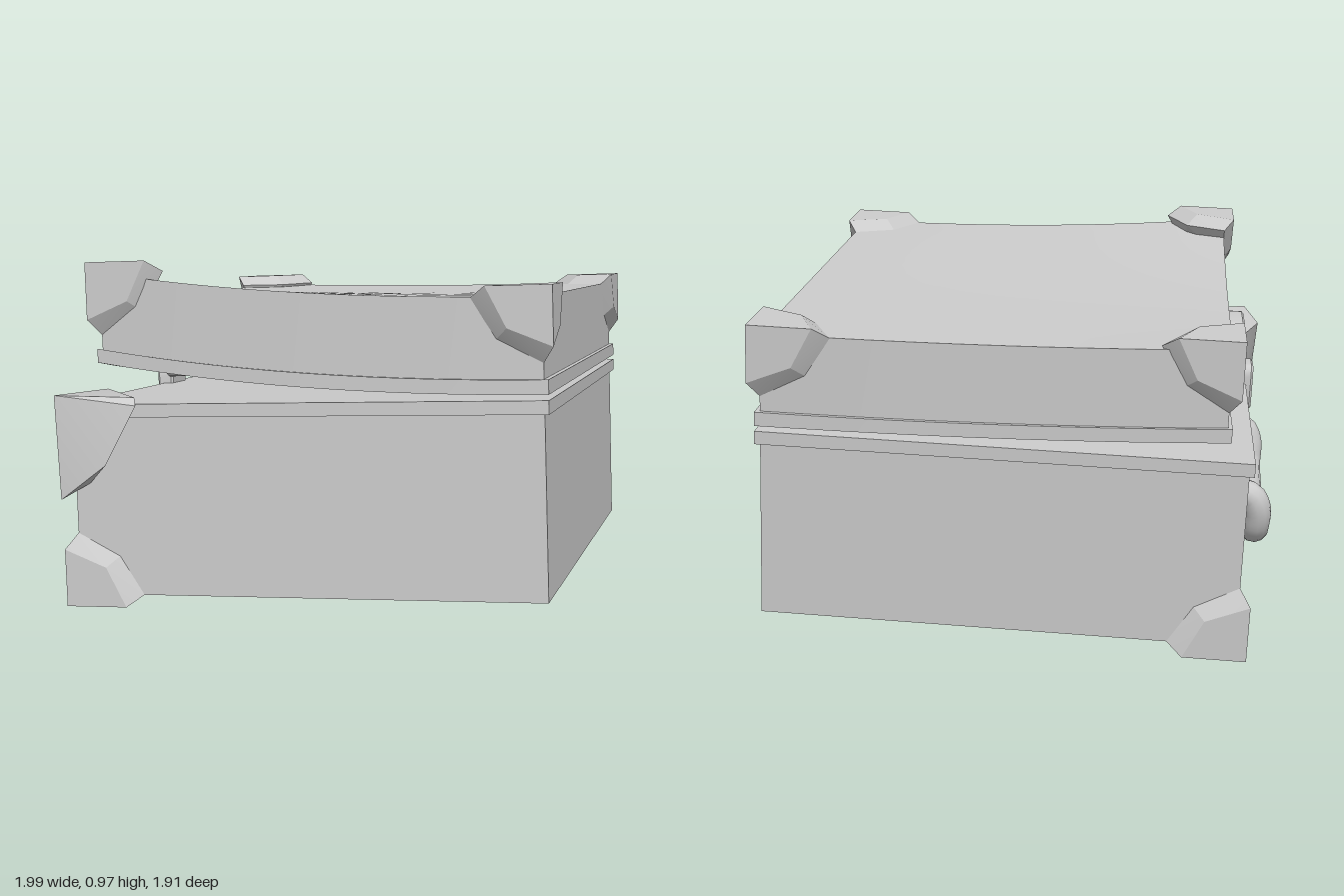
import * as THREE from 'three';
import { toCreasedNormals } from 'three/addons/utils/BufferGeometryUtils.js';
import { ConvexGeometry } from 'three/addons/geometries/ConvexGeometry.js';

const W = 1.46, D = 1.22, BODY_H = 0.46, LID_BASE = 0.5;
const material = new THREE.MeshStandardMaterial({ color: 0xcccccc });
const V = (x, y, z) => new THREE.Vector3(x, y, z);

function add(parent, name, geometry, crease = 0.5) {
  const mesh = new THREE.Mesh(toCreasedNormals(geometry, crease), material);
  mesh.name = name;
  parent.add(mesh);
  return mesh;
}

// Box spanning y0..y1, grown outwards by grow
function slab(y0, y1, grow, seg = 1) {
  const g = new THREE.BoxGeometry(W + 2 * grow, y1 - y0, D + 2 * grow, seg, 1, seg);
  return g.translate(0, (y0 + y1) / 2, 0);
}

// Bent lid: lies flat at the hinge, curls up and pulls in on the handle side
function warp(p) {
  const x = p.x / (W / 2), t = Math.max(0, (p.z / (D / 2) + 1) / 2), k = t * t;
  return V(
    p.x + k * (-0.02 - 0.05 * x),
    p.y + 0.008 + k * (0.02 + 0.03 * x + 0.035 * x * x),
    p.z - 0.06 * k
  );
}

function warpGeometry(g) {
  const pos = g.attributes.position, p = V(0, 0, 0);
  for (let i = 0; i < pos.count; i++) {
    const q = warp(p.fromBufferAttribute(pos, i));
    pos.setXYZ(i, q.x, q.y, q.z);
  }
  g.computeVertexNormals();
  return g;
}

// Bevelled three-armed corner guard; s gives the direction of the corner
function cornerGuard(corner, s) {
  const e = 0.028, arm = [0.16, 0.12, 0.135], points = [[e, e, e]];
  for (let a = 0; a < 3; a++) {
    const b = (a + 1) % 3, c = (a + 2) % 3;
    // arm tip, with a bevel running down to the case
    const tip = [e, e, e], foot = [0, 0, 0];
    tip[a] = -arm[a];
    foot[a] = -arm[a] - 0.04;
    // bulge of the plate on the face between arms b and c
    const bulge = [0, 0, 0], base = [0, 0, 0];
    bulge[a] = e;
    bulge[b] = -arm[b] * 0.62;
    bulge[c] = -arm[c] * 0.62;
    base[a] = -0.002;
    base[b] = -arm[b] * 0.85;
    base[c] = -arm[c] * 0.85;
    points.push(tip, foot, bulge, base);
  }
  return new ConvexGeometry(points.map(p =>
    V(corner.x + s[0] * p[0], corner.y + s[1] * p[1], corner.z + s[2] * p[2])));
}

// Rounded plate facing +z
function plate(w, h, depth) {
  const r = 0.025, x = w / 2, y = h / 2, s = new THREE.Shape();
  s.moveTo(-x + r, -y);
  s.lineTo(x - r, -y);
  s.quadraticCurveTo(x, -y, x, -y + r);
  s.lineTo(x, y - r);
  s.quadraticCurveTo(x, y, x - r, y);
  s.lineTo(-x + r, y);
  s.quadraticCurveTo(-x, y, -x, y - r);
  s.lineTo(-x, -y + r);
  s.quadraticCurveTo(-x, -y, -x + r, -y);
  return new THREE.ExtrudeGeometry(s, {
    depth, bevelEnabled: true, bevelSize: 0.006, bevelThickness: 0.006, bevelSegments: 1, curveSegments: 4
  });
}

export function createModel() {
  const model = new THREE.Group();
  model.name = 'suitcase';

  // Lower shell and its rim
  add(model, 'lowerShell', slab(0, BODY_H, 0));
  add(model, 'lowerRim', slab(BODY_H, BODY_H + 0.034, 0.012));

  // Warped lid with its rim
  const lid = new THREE.Group();
  lid.name = 'lid';
  model.add(lid);
  add(lid, 'lidRim', warpGeometry(slab(LID_BASE, LID_BASE + 0.036, 0.012, 14)));
  add(lid, 'lidShell', warpGeometry(slab(LID_BASE + 0.036, LID_BASE + 0.235, 0, 14)));

  // Corner guards: four on the lid, two at the bottom of the handle side
  for (const sx of [-1, 1]) {
    for (const sz of [-1, 1]) {
      const top = warp(V(sx * W / 2, LID_BASE + 0.235, sz * D / 2));
      add(lid, 'lidCornerGuard', cornerGuard(top, [sx, 1, sz]), 0.2);
    }
    add(model, 'bottomCornerGuard', cornerGuard(V(sx * W / 2, 0, D / 2), [sx, -1, 1]), 0.2);
  }

  // Large crumpled flap over one upper corner of the lower shell
  const flap = add(model, 'cornerFlap', new ConvexGeometry([
    V(0.035, 0.03, 0.035), V(-0.29, 0.02, 0.025), V(-0.29, 0.0, 0),
    V(-0.2, -0.12, 0.04), V(-0.06, -0.21, 0.065), V(-0.14, -0.19, 0),
    V(0.03, -0.24, 0.03), V(0.04, -0.15, -0.1), V(0.02, 0, -0.18),
    V(0, 0.02, -0.17), V(-0.1, 0.01, 0.075), V(0, -0.2, -0.04)
  ]), 0.6);
  flap.position.set(W / 2, BODY_H + 0.03, D / 2);

  // Clasp: plate on the lid and a tongue reaching over the rim
  const clasp = new THREE.Group();
  clasp.name = 'clasp';
  clasp.position.z = D / 2;
  model.add(clasp);
  add(clasp, 'claspPlate', plate(0.165, 0.15, 0.05)).position.set(0, 0.595, -0.06);
  add(clasp, 'claspTongue', plate(0.1, 0.12, 0.035)).position.set(0, 0.48, -0.01);

  // Handle with two mounting plates and a hanging grip
  const handle = new THREE.Group();
  handle.name = 'handle';
  handle.position.z = D / 2;
  model.add(handle);
  const side = [[0.3, 0.26, -0.01], [0.3, 0.25, 0.035], [0.295, 0.21, 0.055], [0.27, 0.15, 0.055], [0.2, 0.125, 0.055]];
  const path = new THREE.CatmullRomCurve3([
    ...side.map(p => V(-p[0], p[1], p[2])),
    V(0, 0.115, 0.055),
    ...side.slice().reverse().map(p => V(...p))
  ]);
  add(handle, 'grip', new THREE.TubeGeometry(path, 64, 0.04, 12), 1);
  for (const sx of [-1, 1]) {
    add(handle, 'handlePlate', plate(0.15, 0.14, 0.012)).position.set(sx * 0.3, 0.26, -0.004);
  }

  // Turned and slightly tipped stance
  model.rotation.set(-0.067, -2.459, -0.012, 'ZXY');
  model.position.set(0.005, 0.095, 0.015);
  const root = new THREE.Group();
  root.name = 'tippedSuitcase';
  root.add(model);
  return root;
}
